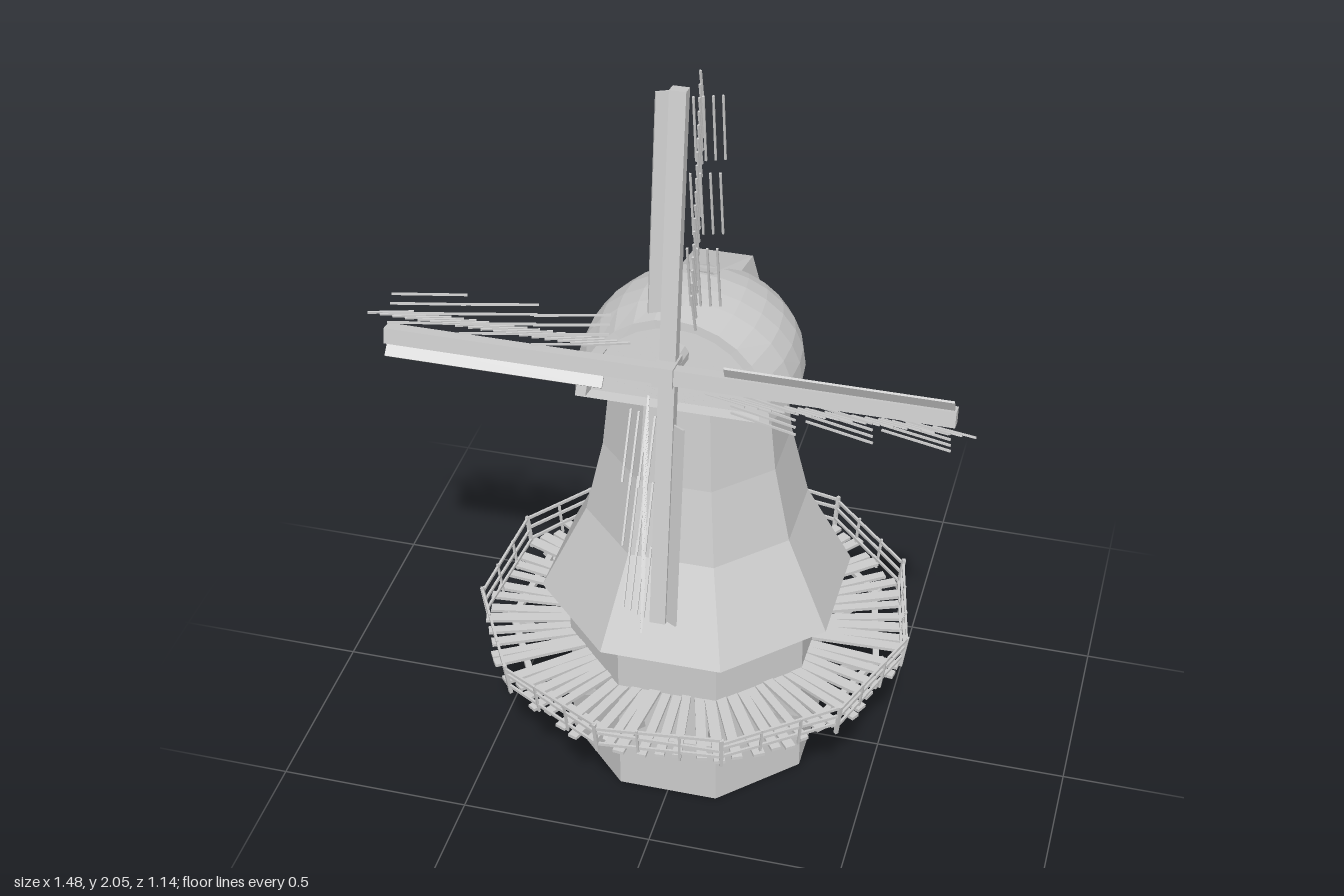
import * as THREE from 'three';
import { ConvexGeometry } from 'three/addons/geometries/ConvexGeometry.js';

const mat = new THREE.MeshStandardMaterial({ color: 0xcccccc, flatShading: true, side: THREE.DoubleSide });
const V = (x, y, z) => new THREE.Vector3(x, y, z);
const polar = (r, a, y) => V(r * Math.cos(a), y, r * Math.sin(a));

function add(parent, geo, name) {
  const m = new THREE.Mesh(geo, mat);
  m.name = name;
  parent.add(m);
  return m;
}

function group(parent, name) {
  const g = new THREE.Group();
  g.name = name;
  parent.add(g);
  return g;
}

// Rectangular bar running from a to b, w wide and h thick
function bar(parent, a, b, w, h, name) {
  const m = add(parent, new THREE.BoxGeometry(w, h, a.distanceTo(b)), name);
  m.position.addVectors(a, b).multiplyScalar(0.5);
  m.lookAt(b);
  return m;
}

// Octagonal solid with flats facing the axes; profile is [apothem, y]
function octagon(parent, profile, name) {
  const pts = profile.map(([r, y]) => new THREE.Vector2(r / Math.cos(Math.PI / 8), y));
  return add(parent, new THREE.LatheGeometry(pts, 8, Math.PI / 8), name);
}

// Rounded cap: arched sections [z, half width, height, backward lean] from front to back
function capGeometry() {
  const base = 1.185, n = 14;
  const sections = [
    [0.215, 0.001, 0.001, 0], [0.215, 0.21, 0.195, 0.04], [0.247, 0.215, 0.2, 0.045],
    [0.25, 0.24, 0.222, 0.05], [0.13, 0.27, 0.225, 0.02], [0.05, 0.275, 0.225, 0],
  ];
  for (let i = 1; i <= 7; i++) {
    const t = (i / 7) * Math.PI / 2, s = Math.max(Math.cos(t), 0.01);
    sections.push([0.05 - 0.31 * Math.sin(t), 0.275 * s, 0.225 * s, 0]);
  }
  const pos = [], idx = [];
  for (const [z, w, h, lean] of sections) {
    for (let j = 0; j <= n; j++) {
      const a = (j / n) * Math.PI;
      pos.push(w * Math.cos(a), base + h * Math.sin(a), z - lean * Math.sin(a));
    }
  }
  const row = n + 1;
  for (let i = 0; i < sections.length - 1; i++) {
    for (let j = 0; j < row; j++) {
      const k = (j + 1) % row; // the wrap closes the underside
      const a = i * row + j, b = i * row + k, c = a + row, d = b + row;
      idx.push(a, c, b, b, c, d);
    }
  }
  const g = new THREE.BufferGeometry();
  g.setAttribute('position', new THREE.Float32BufferAttribute(pos, 3));
  g.setIndex(idx);
  g.computeVertexNormals();
  return g;
}

// One sail arm pointing up: stock, twisted lattice on +x, wind board on -x
function buildArm(parent, z) {
  const arm = group(parent, 'sailArm');
  add(arm, new THREE.BoxGeometry(0.04, 0.69, 0.034), 'stock').position.set(0, 0.345, z);
  const at = (u, v) => {
    const a = 0.25 + 0.3 * v;
    return V(0.016 + 0.092 * u * Math.cos(a), 0.145 + 0.54 * v, z - 0.092 * u * Math.sin(a));
  };
  const rungs = 17, t = 0.005;
  for (let i = 0; i <= rungs; i++) bar(arm, at(-0.2, i / rungs), at(1, i / rungs), t, t, 'latticeRung');
  for (let j = 1; j <= 4; j++) {
    for (let k = 0; k < 3; k++) bar(arm, at(j / 4, k / 3), at(j / 4, (k + 1) / 3), t, t, 'latticeBar');
  }
  const board = add(arm, new THREE.BoxGeometry(0.036, 0.54, 0.006), 'windBoard');
  board.position.set(-0.034, 0.415, z + 0.014);
  board.rotation.y = 0.6;
  return arm;
}

function buildSails(root) {
  const sails = group(root, 'sails');
  sails.position.set(0, 1.32, 0.27);
  sails.rotation.x = -0.16;
  for (let i = 0; i < 4; i++) buildArm(sails, i % 2 ? 0.036 : 0).rotation.z = -i * Math.PI / 2;
  const shaft = add(sails, new THREE.CylinderGeometry(0.024, 0.03, 0.16, 10), 'windShaft');
  shaft.rotation.x = Math.PI / 2;
  shaft.position.z = -0.03;
  add(sails, new THREE.BoxGeometry(0.05, 0.05, 0.09), 'hub').position.z = 0.016;
}

function buildGallery(root) {
  const gallery = group(root, 'gallery');
  let seed = 7;
  const rand = () => (seed = (seed * 16807) % 2147483647) / 2147483647;

  // Uneven radial deck planks
  const planks = 72;
  for (let i = 0; i < planks; i++) {
    const a = ((i + (rand() - 0.5) * 0.3) / planks) * Math.PI * 2;
    const y = 0.336 + (rand() - 0.5) * 0.008;
    bar(gallery, polar(0.29, a, y), polar(0.535 + rand() * 0.025, a + (rand() - 0.5) * 0.03, y),
      0.022 + rand() * 0.008, 0.009, 'deckPlank');
  }

  // Eleven-sided railing, ring beam and struts
  const n = 11, step = (Math.PI * 2) / n, phase = 0.07;
  for (let i = 0; i < n; i++) {
    const a = phase + i * step, b = a + step;
    const p = (y, r) => [polar(r, a, y + (rand() - 0.5) * 0.014), polar(r, b, y + (rand() - 0.5) * 0.014)];
    for (const [y, r] of [[0.353, 0.558], [0.384, 0.564], [0.413, 0.569]]) {
      const [s, e] = p(y, r);
      bar(gallery, s, e, 0.006, 0.008, 'rail');
    }
    bar(gallery, polar(0.49, a, 0.325), polar(0.49, b, 0.325), 0.016, 0.014, 'ringBeam');
    bar(gallery, polar(0.556, a, 0.325), polar(0.57, a, 0.422), 0.009, 0.009, 'railPost');
    for (const f of [1 / 3, 2 / 3]) {
      const foot = polar(0.556, a, 0.325).lerp(polar(0.556, b, 0.325), f);
      const head = polar(0.57, a, 0.418).lerp(polar(0.57, b, 0.418), f);
      bar(gallery, foot, head, 0.006, 0.006, 'railPost');
    }
    bar(gallery, polar(0.3, a, 0.21), polar(0.51, a, 0.33), 0.016, 0.016, 'strut');
  }
}

export function createModel() {
  const root = new THREE.Group();
  root.name = 'windmill';

  octagon(root, [[0, 0], [0.312, 0], [0.312, 0.51], [0, 0.51]], 'base');
  octagon(root, [[0, 0.497], [0.376, 0.497], [0.265, 0.735], [0.222, 0.935], [0.195, 1.2], [0, 1.2]], 'tower');

  add(root, capGeometry(), 'cap');

  // Rear hood with sloping roof
  const hood = [];
  for (const s of [-1, 1]) {
    hood.push(V(s * 0.115, 1.19, -0.247), V(s * 0.075, 1.32, -0.262), V(s * 0.03, 1.405, -0.03),
      V(s * 0.115, 1.19, -0.08), V(s * 0.075, 1.36, -0.1));
  }
  add(root, new ConvexGeometry(hood), 'rearHood');

  buildSails(root);
  buildGallery(root);
  return root;
}
